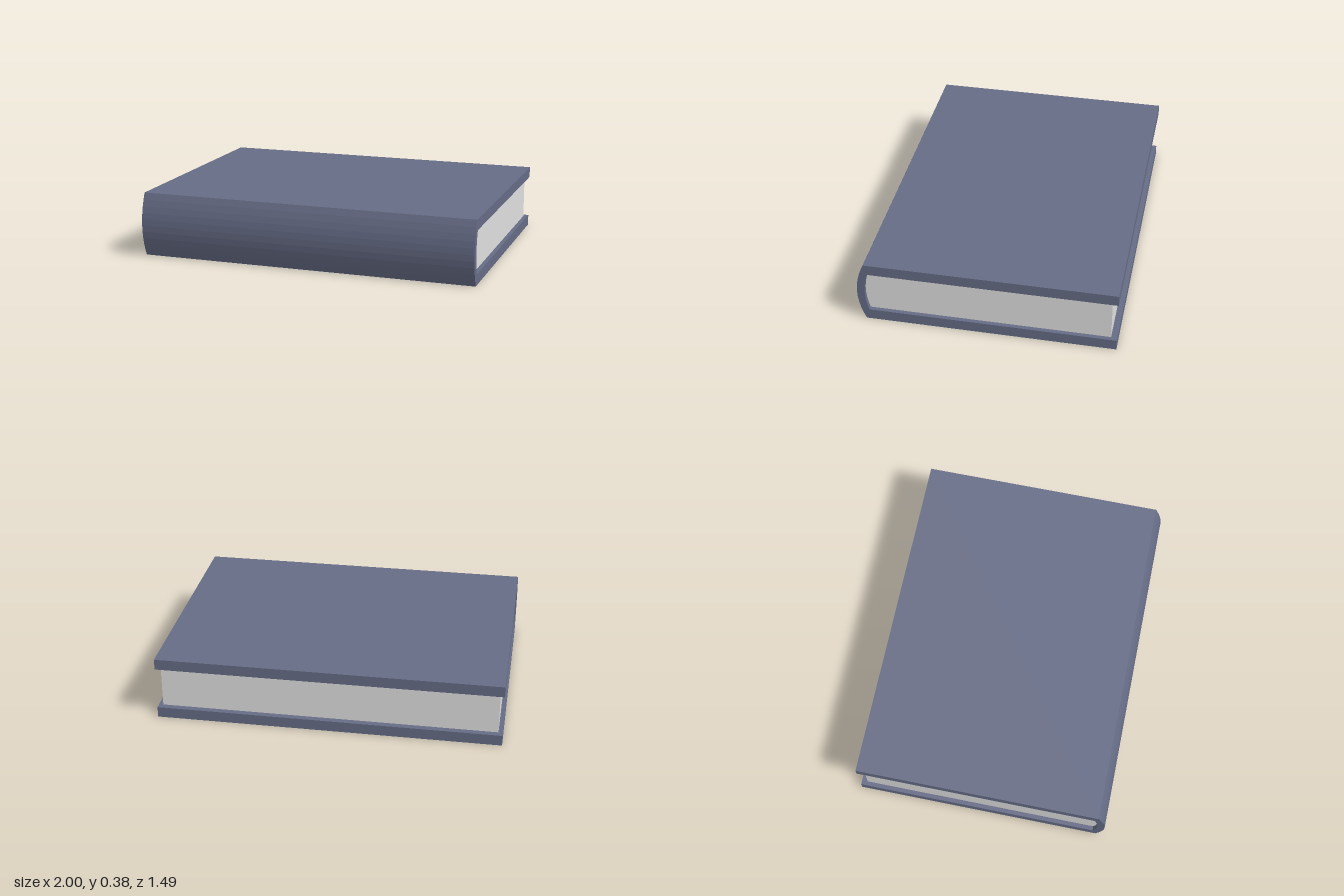
import * as THREE from 'three';

const HEIGHT = 0.375, BOARD = 0.063, LENGTH = 1.985;
const LOW = BOARD, HIGH = HEIGHT - BOARD, MID = HEIGHT / 2;

// Extrude a (z, y) profile along x, centred on x = 0
function alongX(shape, length) {
  const geometry = new THREE.ExtrudeGeometry(shape, { depth: length, bevelEnabled: false, curveSegments: 10 });
  geometry.translate(0, 0, -length / 2);
  geometry.rotateY(-Math.PI / 2);
  return geometry;
}

export function createModel() {
  const coverBlue = new THREE.MeshStandardMaterial({ color: 0x666c86 });
  coverBlue.name = 'coverBlue';
  const paperGrey = new THREE.MeshStandardMaterial({ color: 0xe0e0e0 });
  paperGrey.name = 'paperGrey';

  // Cover: two boards joined by a curved spine at the front
  const coverShape = new THREE.Shape();
  coverShape.moveTo(-0.735, 0);
  coverShape.lineTo(0.69, 0);
  coverShape.quadraticCurveTo(0.78, MID, 0.69, HEIGHT);
  coverShape.lineTo(-0.735, HEIGHT);
  coverShape.lineTo(-0.735, HIGH);
  coverShape.lineTo(0.67, HIGH);
  coverShape.quadraticCurveTo(0.712, MID, 0.67, LOW);
  coverShape.lineTo(-0.735, LOW);
  coverShape.closePath();
  const cover = new THREE.Mesh(alongX(coverShape, LENGTH), coverBlue);
  cover.name = 'cover';

  // Page block: set in from the boards, rounded against the spine
  const pageShape = new THREE.Shape();
  pageShape.moveTo(-0.7, LOW);
  pageShape.lineTo(0.67, LOW);
  pageShape.quadraticCurveTo(0.712, MID, 0.67, HIGH);
  pageShape.lineTo(-0.7, HIGH);
  pageShape.closePath();
  const pages = new THREE.Mesh(alongX(pageShape, LENGTH - 0.05), paperGrey);
  pages.name = 'pages';

  // The book lies very slightly turned
  const book = new THREE.Group();
  book.name = 'book';
  book.add(cover, pages);
  book.rotation.y = -0.0101;

  const model = new THREE.Group();
  model.add(book);
  return model;
}
